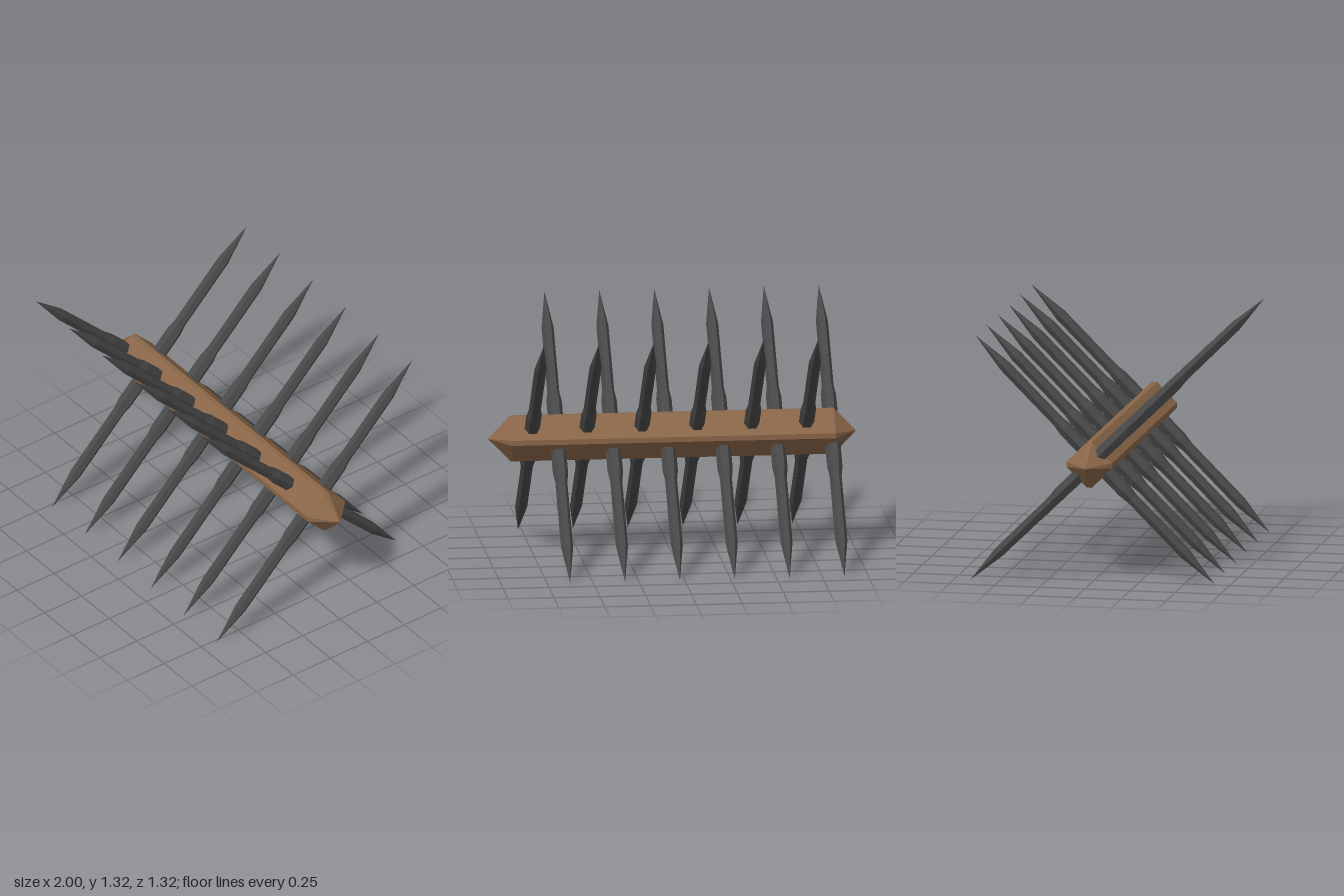
import * as THREE from 'three';

const CENTER_Y = 0.665;
const wood = new THREE.MeshStandardMaterial({ color: 0x8a6648, flatShading: true });
const iron = new THREE.MeshStandardMaterial({ color: 0x484848, flatShading: true });

// Diamond-section beam with narrow chamfered ridges and pyramid ends
function beamGeometry() {
  const a = 0.125, c = 0.014;
  const section = [[a, -c], [a, c], [c, a], [-c, a], [-a, c], [-a, -c], [-c, -a], [c, -a]]; // y, z
  const rings = [[-1, 0.03], [-0.88, 1], [0.88, 1], [1, 0.03]]; // x, scale
  const n = section.length, pos = [], index = [];
  for (const [x, s] of rings) for (const [y, z] of section) pos.push(x, y * s, z * s);
  for (let r = 0; r < rings.length - 1; r++) {
    for (let i = 0; i < n; i++) {
      const p = r * n + i, q = r * n + (i + 1) % n;
      index.push(p, q, p + n, q, q + n, p + n);
    }
  }
  // Tiny caps at the tips
  const last = (rings.length - 1) * n;
  for (let i = 1; i < n - 1; i++) index.push(0, i + 1, i, last, last + i, last + i + 1);
  // Wind every face outward from the convex body's centre
  const v = (i) => new THREE.Vector3().fromArray(pos, i * 3);
  for (let f = 0; f < index.length; f += 3) {
    const [p, q, r] = [v(index[f]), v(index[f + 1]), v(index[f + 2])];
    const normal = q.clone().sub(p).cross(r.clone().sub(p));
    if (normal.dot(p.add(q).add(r)) < 0) [index[f + 1], index[f + 2]] = [index[f + 2], index[f + 1]];
  }
  const g = new THREE.BufferGeometry();
  g.setAttribute('position', new THREE.Float32BufferAttribute(pos, 3));
  g.setIndex(index);
  const flat = g.toNonIndexed();
  flat.computeVertexNormals();
  return flat;
}

// Six-sided spike: thick collar, straight shaft, long point
function spikeGeometry() {
  const profile = [[0, 0.04], [0.042, 0.04], [0.042, 0.23], [0.033, 0.29], [0.033, 0.705], [0, 0.935]];
  const g = new THREE.LatheGeometry(profile.map(([r, y]) => new THREE.Vector2(r, y)), 6);
  g.rotateY(Math.PI / 2); // corners point along the beam
  const flat = g.toNonIndexed();
  flat.computeVertexNormals();
  return flat;
}

export function createModel() {
  const model = new THREE.Group();
  model.name = 'spikedBarrier';

  const beam = new THREE.Mesh(beamGeometry(), wood);
  beam.name = 'beam';
  beam.position.y = CENTER_Y;
  model.add(beam);

  // Alternating opposed pairs, crossing at right angles along the beam
  const spike = spikeGeometry();
  for (let i = 0; i < 6; i++) {
    for (let k = 0; k < 4; k++) {
      const mesh = new THREE.Mesh(spike, iron);
      mesh.name = 'spike';
      mesh.position.set((k % 2 ? -0.726 : -0.87) + i * 0.299, CENTER_Y, 0);
      mesh.rotation.x = Math.PI / 4 + k * Math.PI / 2;
      model.add(mesh);
    }
  }
  return model;
}
